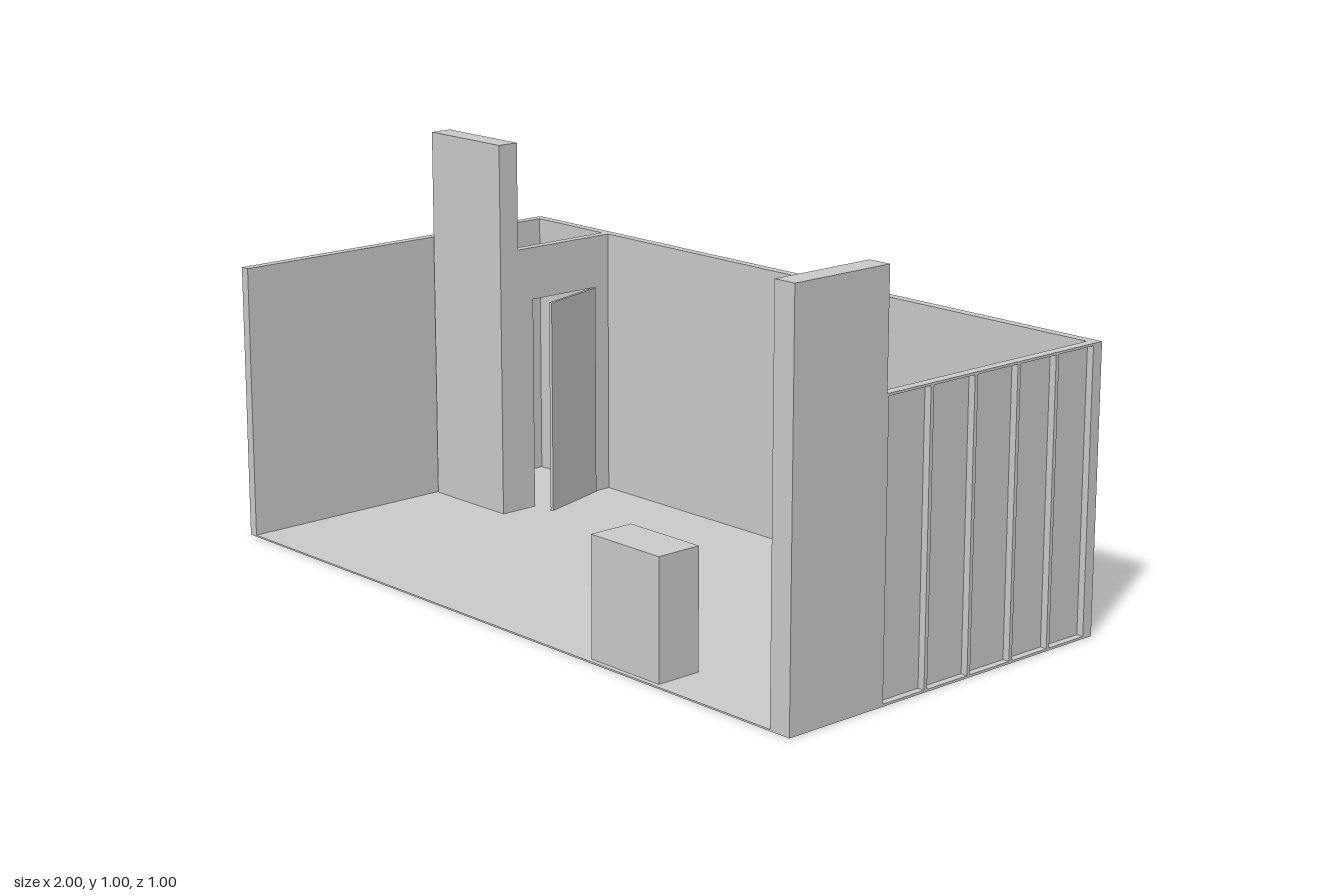
import * as THREE from 'three';

const material = new THREE.MeshStandardMaterial({ color: 0xcccccc });
const H = 0.715; // wall height
const T = 0.025; // wall thickness
const FLOOR = 0.004;

// Box given by its minimum and maximum corners
function box(parent, name, [x0, y0, z0], [x1, y1, z1]) {
  const mesh = new THREE.Mesh(new THREE.BoxGeometry(x1 - x0, y1 - y0, z1 - z0), material);
  mesh.name = name;
  mesh.position.set((x0 + x1) / 2, (y0 + y1) / 2, (z0 + z1) / 2);
  parent.add(mesh);
  return mesh;
}

// Framed wall along local x: smooth inside (+z), studs and recessed panels outside (-z)
function framedWall(name, edges) {
  const wall = new THREE.Group();
  wall.name = name;
  const start = edges[0], end = edges[edges.length - 1];
  const skin = 0.007, rail = 0.006, half = 0.005;
  box(wall, 'wallPanel', [start, 0, T - skin], [end, H, T]);
  box(wall, 'bottomRail', [start, 0, 0], [end, rail, T - skin]);
  box(wall, 'topRail', [start, H - rail, 0], [end, H, T - skin]);
  for (const e of edges) {
    const a = Math.max(start, e - half), b = Math.min(end, e + half);
    box(wall, 'stud', [a, rail, 0], [b, H - rail, T - skin]);
  }
  return wall;
}

export function createModel() {
  const model = new THREE.Group();
  model.name = 'exhibitionBooth';

  box(model, 'floor', [-1, 0, -0.5], [1, FLOOR, 0.5]);

  // Back wall with 14 bays
  const bay = 2 / 14;
  const back = framedWall('backWall', Array.from({ length: 15 }, (_, i) => -1 + i * bay));
  back.position.z = -0.5;
  model.add(back);

  // Side walls: full bays from the front, two narrower bays at the back
  const sideEdges = (front, count) => {
    const edges = Array.from({ length: count + 1 }, (_, i) => front - i * bay);
    const last = edges[count], rest = (last + 0.475) / 2;
    return [...edges, last - rest, -0.475];
  };
  const right = framedWall('rightSideWall', sideEdges(0.5, 5).map((z) => -z));
  right.rotation.y = Math.PI / 2;
  right.position.x = -1;
  model.add(right);

  const left = framedWall('leftSideWall', sideEdges(0.215, 3).reverse());
  left.rotation.y = -Math.PI / 2;
  left.position.x = 1;
  model.add(left);

  // Tall display slabs
  box(model, 'leftTower', [0.94, 0, 0.215], [1, 1, 0.5]);
  box(model, 'closetTower', [-0.97, 0, -0.16], [-0.69, 1, -0.1]);

  // Closet partition with a doorway
  const closet = new THREE.Group();
  closet.name = 'closetPartition';
  const px0 = -0.715, px1 = -0.69, doorTop = 0.575;
  box(closet, 'backJamb', [px0, FLOOR, -0.475], [px1, H, -0.425]);
  box(closet, 'frontJamb', [px0, FLOOR, -0.21], [px1, H, -0.16]);
  box(closet, 'doorHeader', [px0, doorTop, -0.425], [px1, H, -0.21]);
  model.add(closet);

  // Door standing ajar on its hinge
  const door = new THREE.Group();
  door.name = 'door';
  box(door, 'doorLeaf', [-0.008, FLOOR, 0], [0, doorTop, 0.215]);
  door.position.set(-0.685, 0, -0.425);
  door.rotation.y = 0.285;
  model.add(door);

  box(model, 'counter', [0.34, FLOOR, 0.365], [0.57, 0.305, 0.487]);

  return model;
}
